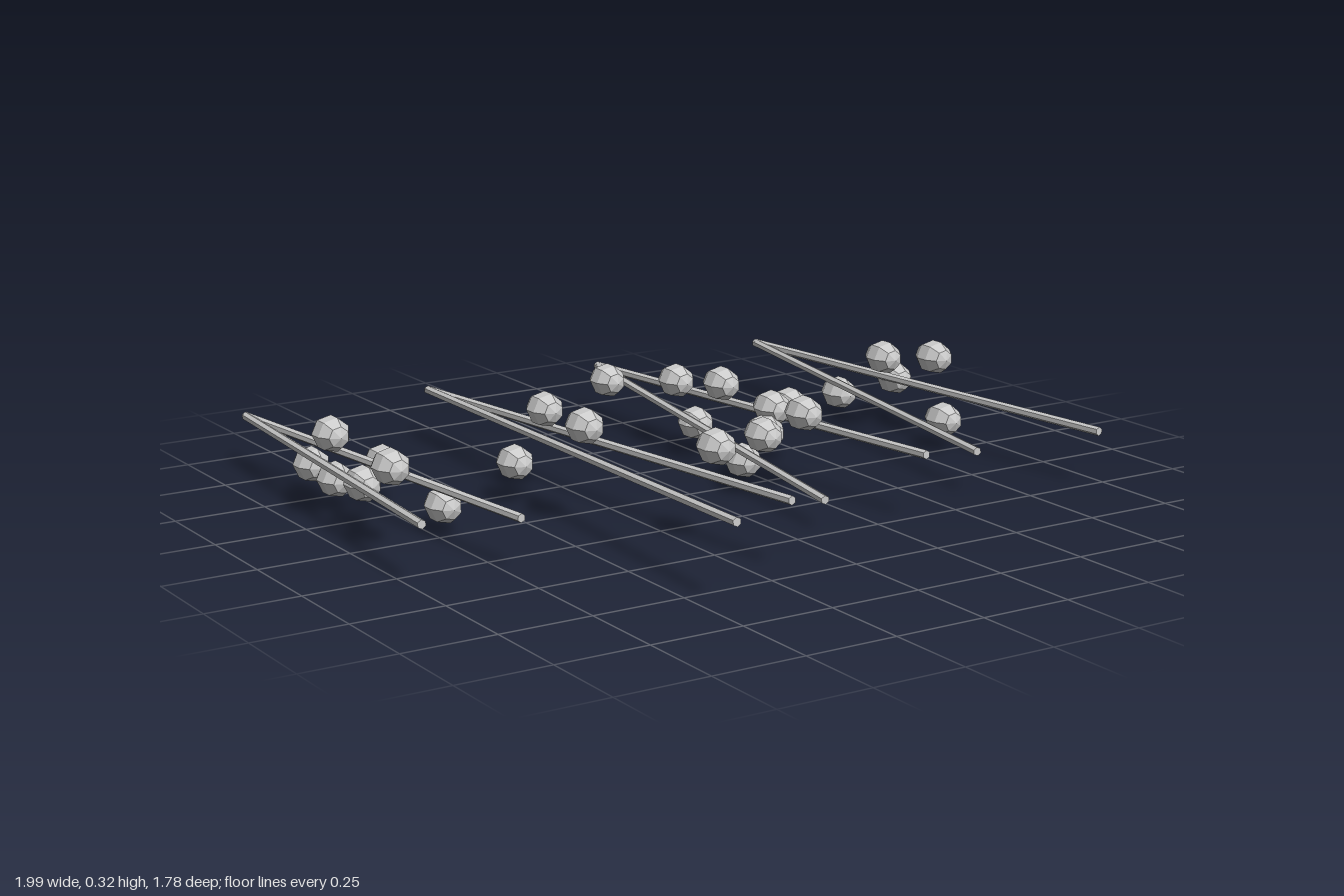
import * as THREE from 'three';

const APEX_Y = 0.148, APEX_Z = -0.885;

// Each cluster: apex x, two rod tips, and the pebbles scattered around it
const clusters = [
  {
    apex: -0.873,
    tips: [[-0.988, 0.165, 0.365], [-0.718, 0.138, 0.365]],
    pebbles: [[-0.866, 0.1, -0.492], [-0.858, 0.087, -0.367], [-0.719, 0.112, -0.369],
      [-0.914, 0.238, -0.268], [-0.871, 0.12, -0.182], [-0.711, 0.07, -0.051], [-0.903, 0.22, 0.042]],
  },
  {
    apex: -0.313,
    tips: [[-0.443, 0.213, 0.888], [-0.17, 0.182, 0.718]],
    pebbles: [[-0.428, 0.112, -0.182], [-0.305, 0.227, -0.236], [-0.4, 0.273, 0.13], [-0.207, 0.26, 0.44]],
  },
  {
    apex: 0.247,
    tips: [[0.107, 0.081, 0.467], [0.357, 0.184, 0.558]],
    pebbles: [[0.134, 0.167, -0.642], [0.245, 0.19, -0.452], [0.277, 0.074, -0.401],
      [0.245, 0.228, -0.222], [0.397, 0.171, -0.113], [0.218, 0.047, -0.075], [0.208, 0.155, 0.047],
      [0.245, 0.211, 0.023], [0.134, 0.178, 0.146], [0.261, 0.22, 0.149]],
  },
  {
    apex: 0.807,
    tips: [[0.642, 0.118, 0.407], [0.957, 0.155, 0.528]],
    pebbles: [[0.852, 0.063, -0.513], [0.953, 0.122, -0.38], [0.83, 0.22, -0.268],
      [0.913, 0.235, -0.14], [0.849, 0.09, -0.008]],
  },
];

export function createModel() {
  const model = new THREE.Group();
  const grey = new THREE.MeshStandardMaterial({ color: 0xcccccc, flatShading: true });
  grey.name = 'light stone grey';

  // Faceted pebble, long along z
  const pebbleGeometry = new THREE.SphereGeometry(0.048, 7, 5);
  pebbleGeometry.rotateX(Math.PI / 2).scale(1, 1, 1.25);

  // Thin rod between two points
  const rod = (from, to) => {
    const direction = to.clone().sub(from);
    const mesh = new THREE.Mesh(new THREE.CylinderGeometry(0.012, 0.012, direction.length(), 6), grey);
    mesh.position.copy(from).add(to).multiplyScalar(0.5);
    mesh.quaternion.setFromUnitVectors(new THREE.Vector3(0, 1, 0), direction.normalize());
    mesh.name = 'rod';
    return mesh;
  };

  for (const { apex, tips, pebbles } of clusters) {
    const group = new THREE.Group();
    group.name = 'forkedCluster';
    const start = new THREE.Vector3(apex, APEX_Y, APEX_Z);
    for (const tip of tips) group.add(rod(start, new THREE.Vector3(...tip)));
    for (const p of pebbles) {
      const pebble = new THREE.Mesh(pebbleGeometry, grey);
      pebble.position.set(...p);
      pebble.name = 'pebble';
      group.add(pebble);
    }
    model.add(group);
  }
  return model;
}
